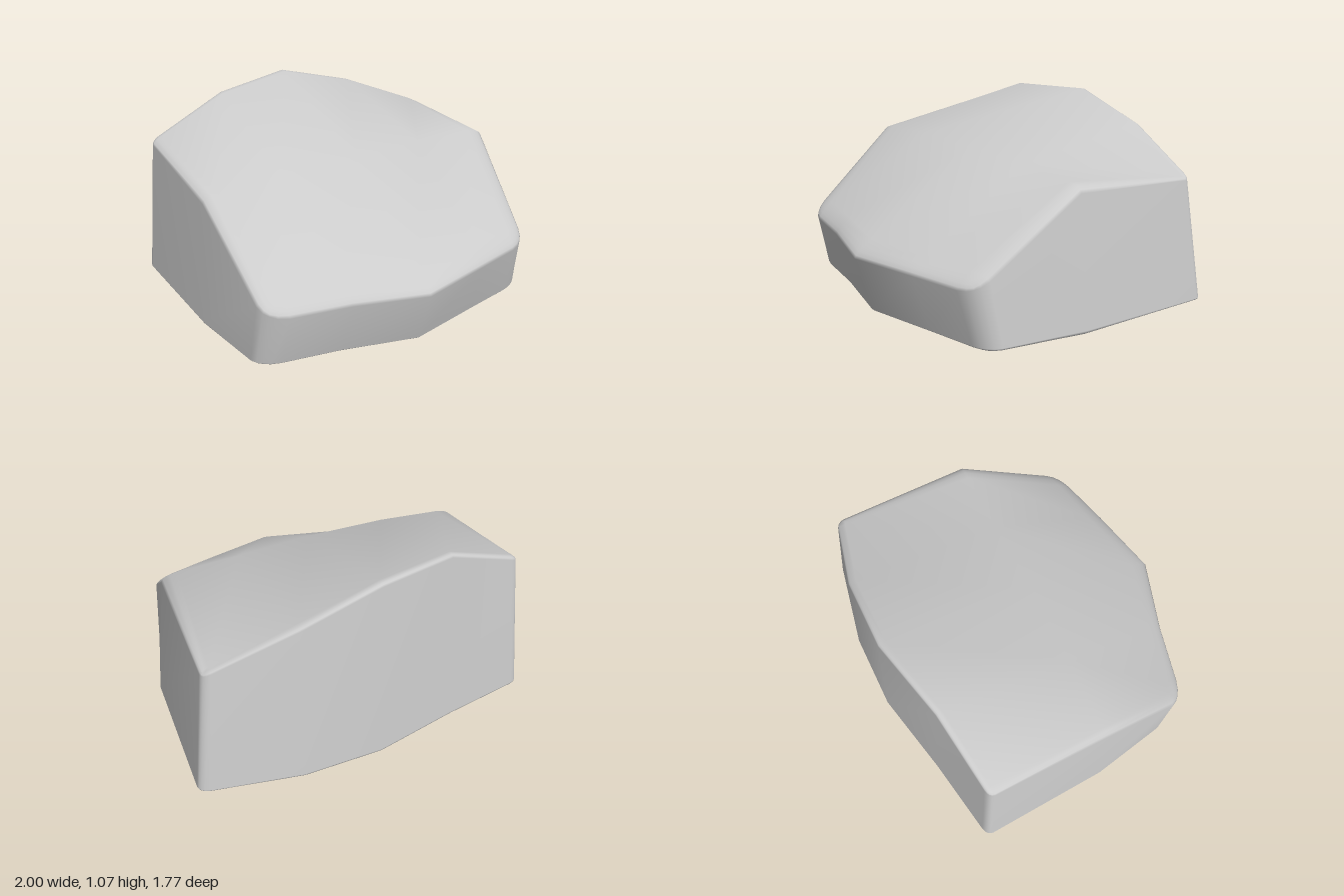
import * as THREE from 'three';
import { mergeVertices } from 'three/addons/utils/BufferGeometryUtils.js';

// Control corners [x, y, z]: rows run back, ridge, front; columns run right to left
const TOP = [
  [[-0.94, 0.865, -0.62], [-0.47, 1.055, -0.69], [-0.01, 1.075, -0.805], [0.44, 0.93, -0.805], [0.92, 0.72, -0.71]],
  [[-0.915, 0.8, 0.08], [-0.46, 0.83, 0.09], [0, 0.83, 0.1], [0.43, 0.82, 0.08], [0.88, 0.805, 0.08]],
  [[-0.85, 0.36, 0.67], [-0.4, 0.37, 0.77], [0, 0.37, 0.893], [0.4, 0.37, 0.795], [0.78, 0.36, 0.69]],
];
const BOTTOM = [
  [[-1.005, 0, -0.69], [-0.5, 0, -0.78], [0, 0, -0.89], [0.45, 0, -0.89], [1.005, 0, -0.78]],
  [[-0.97, 0, 0.08], [-0.48, 0, 0.08], [0, 0, 0.08], [0.45, 0, 0.08], [0.96, 0, 0.08]],
  [[-0.87, 0, 0.59], [-0.42, 0, 0.67], [0, 0, 0.78], [0.42, 0, 0.69], [0.81, 0, 0.61]],
];
const BACK_RADIUS = 0.05, FRONT_RADIUS = 0.14;

// Point on a control sheet, each cell split into two flat triangles
function sample(sheet, u, w) {
  const gu = (u + 1) * 2, gw = w + 1;
  const i = Math.min(3, Math.max(0, Math.floor(gu))), j = Math.min(1, Math.max(0, Math.floor(gw)));
  const s = gu - i, t = gw - j;
  const corner = (di, dj) => new THREE.Vector3(...sheet[j + dj][i + di]);
  const weights = s + t <= 1 ? [1 - s - t, s, t, 0] : [0, 1 - t, 1 - s, s + t - 1];
  return [corner(0, 0), corner(1, 0), corner(0, 1), corner(1, 1)]
    .reduce((sum, c, k) => sum.addScaledVector(c, weights[k]), new THREE.Vector3());
}

// Grid lines along one axis: a bevel at each end and the given lines between
const lines = (r0, r1, middle) => [-1, r0 / 2 - 1, r0 - 1, ...middle, 1 - r1, 1 - r1 / 2, 1];
const pick = (list, value) => list[Math.round((value + 1) / 2 * (list.length - 1))];

export function createModel() {
  // Coarse cube whose faces are split at the control lines and at the bevels
  let geometry = new THREE.BoxGeometry(2, 2, 2, 8, 5, 6);
  geometry.deleteAttribute('uv');
  geometry.deleteAttribute('normal');
  geometry = mergeVertices(geometry, 1e-4);

  // Round the edges, more at the front, and warp the cube between the sheets
  const pos = geometry.attributes.position;
  const depthLines = lines(BACK_RADIUS, FRONT_RADIUS, [0]);
  const p = new THREE.Vector3(), inner = new THREE.Vector3();
  for (let i = 0; i < pos.count; i++) {
    p.fromBufferAttribute(pos, i);
    p.z = pick(depthLines, p.z);
    const r = p.z < BACK_RADIUS - 1 ? BACK_RADIUS : p.z > 1 - FRONT_RADIUS ? FRONT_RADIUS
      : THREE.MathUtils.mapLinear(p.z, BACK_RADIUS - 1, 1 - FRONT_RADIUS, BACK_RADIUS, FRONT_RADIUS);
    p.x = pick(lines(r, r, [-0.5, 0, 0.5]), p.x);
    p.y = pick(lines(r, r, []), p.y);
    inner.copy(p).clampScalar(r - 1, 1 - r);
    p.sub(inner).setLength(r).add(inner);
    const point = sample(BOTTOM, p.x, p.z).lerp(sample(TOP, p.x, p.z), (p.y + 1) / 2);
    pos.setXYZ(i, point.x, point.y, point.z);
  }
  geometry.computeVertexNormals();

  const rock = new THREE.Mesh(geometry, new THREE.MeshStandardMaterial({ color: 0xcccccc }));
  rock.name = 'rock';
  const group = new THREE.Group();
  group.name = 'boulder';
  group.add(rock);
  return group;
}
